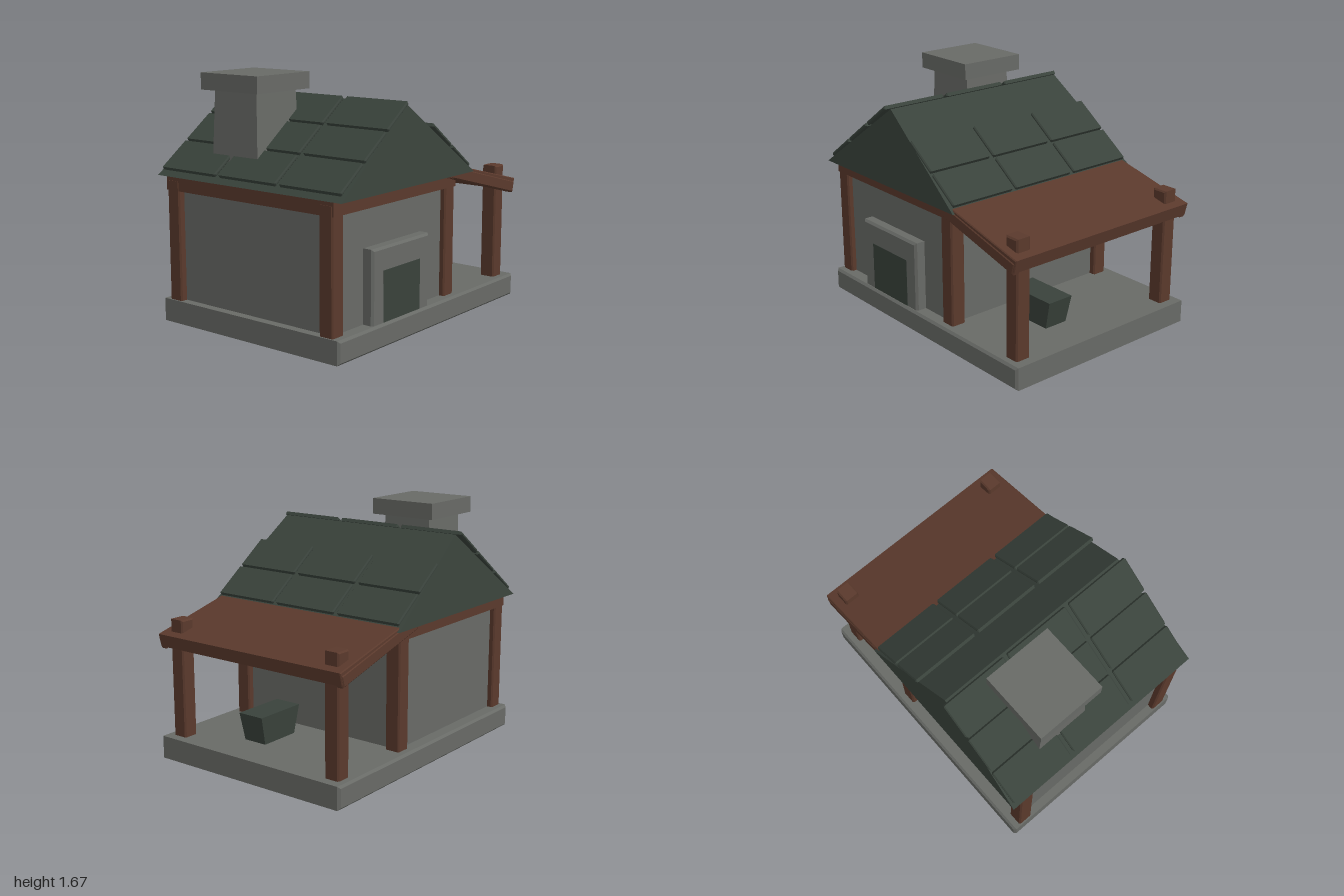
import * as THREE from 'three';

const material = (name, color) => {
  const m = new THREE.MeshStandardMaterial({ color });
  m.name = name;
  return m;
};

export function createModel() {
  const house = new THREE.Group();
  house.name = 'house';
  const stone = material('grey stone', 0x686a66);
  const wood = material('brown wood', 0x5a392c);
  const slate = material('dark green slate', 0x39423b);

  function add(name, geometry, mat, x, y, z) {
    const mesh = new THREE.Mesh(geometry, mat);
    mesh.name = name;
    mesh.position.set(x, y, z);
    house.add(mesh);
    return mesh;
  }

  // Centred box with chamfered edges
  function chamferBox(w, h, d, b) {
    const x = w / 2 - b, y = h / 2 - b;
    const shape = new THREE.Shape([
      new THREE.Vector2(-x, -y), new THREE.Vector2(x, -y),
      new THREE.Vector2(x, y), new THREE.Vector2(-x, y)]);
    return new THREE.ExtrudeGeometry(shape, {
      depth: d - 2 * b, bevelThickness: b, bevelSize: b, bevelSegments: 1,
    }).translate(0, 0, b - d / 2);
  }

  // Box whose top and bottom differ in size, standing on y = 0
  function taperedBox(w0, d0, w1, d1, h) {
    const g = new THREE.BoxGeometry(1, h, 1).translate(0, h / 2, 0).toNonIndexed();
    const p = g.attributes.position;
    for (let i = 0; i < p.count; i++) {
      const top = p.getY(i) > h / 2;
      p.setX(i, p.getX(i) * (top ? w1 : w0));
      p.setZ(i, p.getZ(i) * (top ? d1 : d0));
    }
    g.computeVertexNormals();
    return g;
  }

  // Foundation and walls
  add('foundation', chamferBox(2, 0.155, 1.51, 0.015), stone, 0, 0.0775, 0);
  add('walls', new THREE.BoxGeometry(1.2, 0.83, 1.32), stone, -0.342, 0.565, 0);

  // Corner and porch posts
  for (const x of [-0.935, 0.248, 0.882]) {
    for (const side of [-1, 1]) {
      add(x > 0.5 ? 'porchPost' : 'cornerPost',
        chamferBox(0.108, 0.815, 0.108, 0.01), wood, x, 0.5525, side * 0.645);
    }
  }

  // Beams around the top of the walls
  for (const side of [-1, 1]) {
    add('eaveBeam', new THREE.BoxGeometry(1.28, 0.095, 0.1), wood, -0.342, 0.9425, side * 0.655);
    add('sideBeam', new THREE.BoxGeometry(0.1, 0.095, 1.41), wood, -0.342 + side * 0.594, 0.9425, 0);
  }

  // Main roof: a prism with a ridge shorter than the eaves
  const ridgeX = -0.29, ridgeY = 1.5, eaveY = 0.987;
  const roofGeometry = taperedBox(1.42, 1.55, 0.001, 1.44, ridgeY - eaveY);
  add('mainRoof', roofGeometry, slate, ridgeX, eaveY, 0);

  // Slabs of slate on both slopes
  const pitch = Math.atan2(ridgeY - eaveY, 0.71);
  const lift = 0.021;
  for (const side of [-1, 1]) {
    const rows = side < 0 ? [0.115, 0.341, 0.567] : [0.345, 0.571];
    for (const run of rows) {
      for (const z of [-0.512, 0, 0.512]) {
        const tile = add('roofTile', chamferBox(0.258, 0.025, 0.486, 0.008), slate,
          ridgeX + side * (run + lift * Math.sin(pitch)),
          ridgeY - run * Math.tan(pitch) + lift * Math.cos(pitch), z);
        tile.rotation.z = -side * pitch;
      }
    }
  }

  // Porch roof and its two rafters
  add('porchRoof', chamferBox(0.82, 0.09, 1.515, 0.006), wood, 0.585, 0.915, 0)
    .rotation.z = -0.245;
  for (const side of [-1, 1]) {
    add('porchRafter', chamferBox(0.8, 0.083, 0.062, 0.01), wood, 0.588, 0.902, side * 0.732)
      .rotation.z = -0.26;
  }

  // Chimney
  add('chimneyStack', taperedBox(0.41, 0.4, 0.37, 0.36, 0.57), stone, -0.638, 1.0, -0.225);
  add('chimneyCap', new THREE.BoxGeometry(0.495, 0.11, 0.49), stone, -0.638, 1.615, -0.225);

  // Door surround with a dark opening
  add('doorSurround', chamferBox(0.605, 0.5, 0.135, 0.015), stone, -0.342, 0.39, 0.6675);
  add('doorOpening', new THREE.BoxGeometry(0.39, 0.335, 0.004), slate, -0.34, 0.3225, 0.7345);

  // Trough on the porch
  add('trough', taperedBox(0.295, 0.175, 0.38, 0.195, 0.195), slate, 0.566, 0.155, 0.168);

  return house;
}
